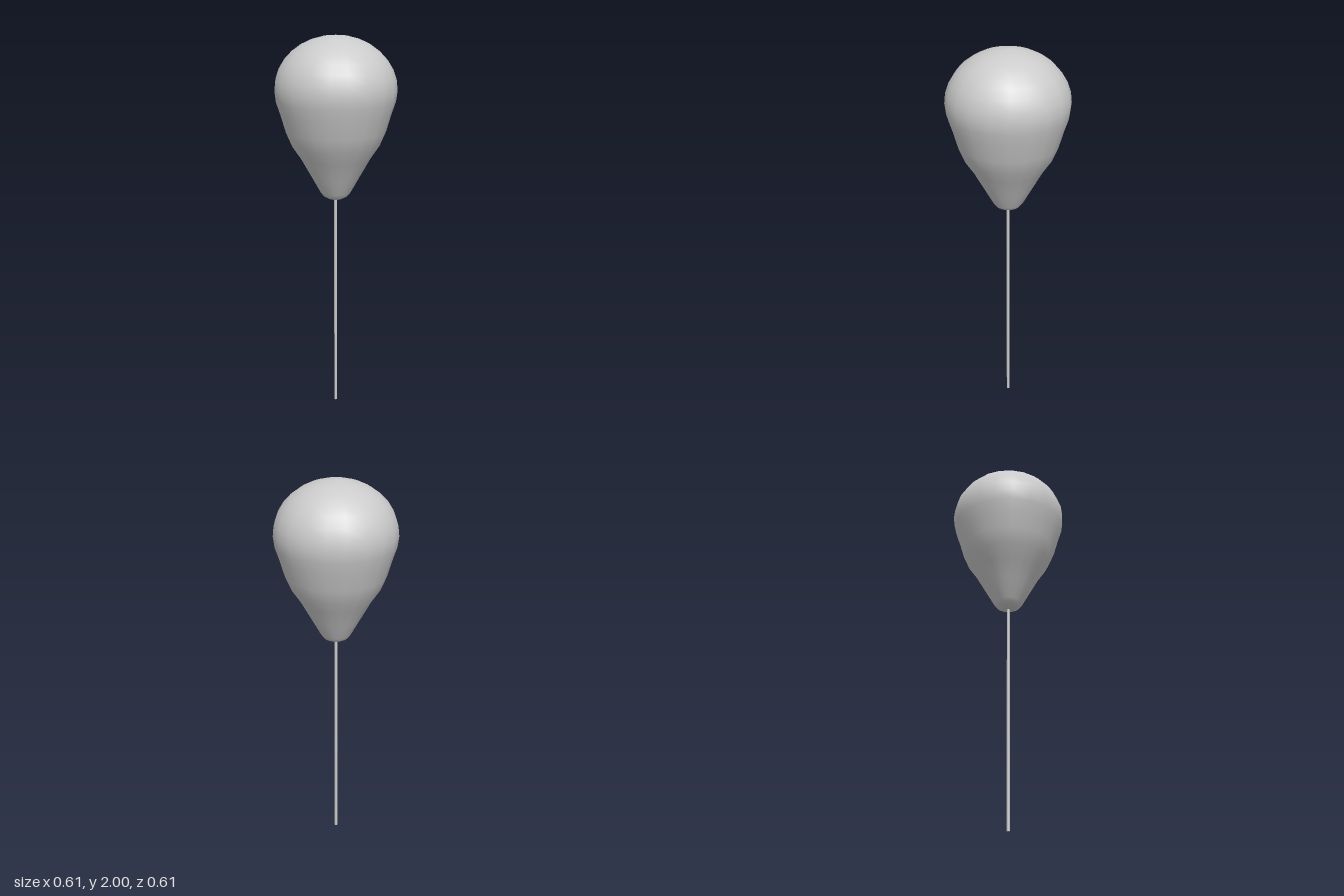
import * as THREE from 'three';

export function createModel() {
  const group = new THREE.Group();
  const material = new THREE.MeshStandardMaterial({ color: 0xcccccc });

  // Balloon: tapered neck swelling into a domed crown
  const profile = [
    [0, 1.172], [0.035, 1.176], [0.062, 1.19], [0.078, 1.21], [0.125, 1.295],
    [0.178, 1.39], [0.222, 1.455], [0.254, 1.53], [0.28, 1.62], [0.3, 1.68],
  ].map(([r, y]) => new THREE.Vector2(r, y));
  const domeSteps = 8;
  for (let i = 0; i <= domeSteps; i++) {
    const a = (i / domeSteps) * Math.PI / 2;
    profile.push(new THREE.Vector2(i === domeSteps ? 0 : 0.307 * Math.cos(a), 1.735 + 0.265 * Math.sin(a)));
  }
  const balloon = new THREE.Mesh(new THREE.LatheGeometry(profile, 20), material);
  balloon.name = 'balloon';
  group.add(balloon);

  // Thin straight stick, running up into the neck
  const stickHeight = 1.2;
  const stick = new THREE.Mesh(new THREE.CylinderGeometry(0.008, 0.008, stickHeight, 12), material);
  stick.position.y = stickHeight / 2;
  stick.name = 'stick';
  group.add(stick);

  return group;
}
